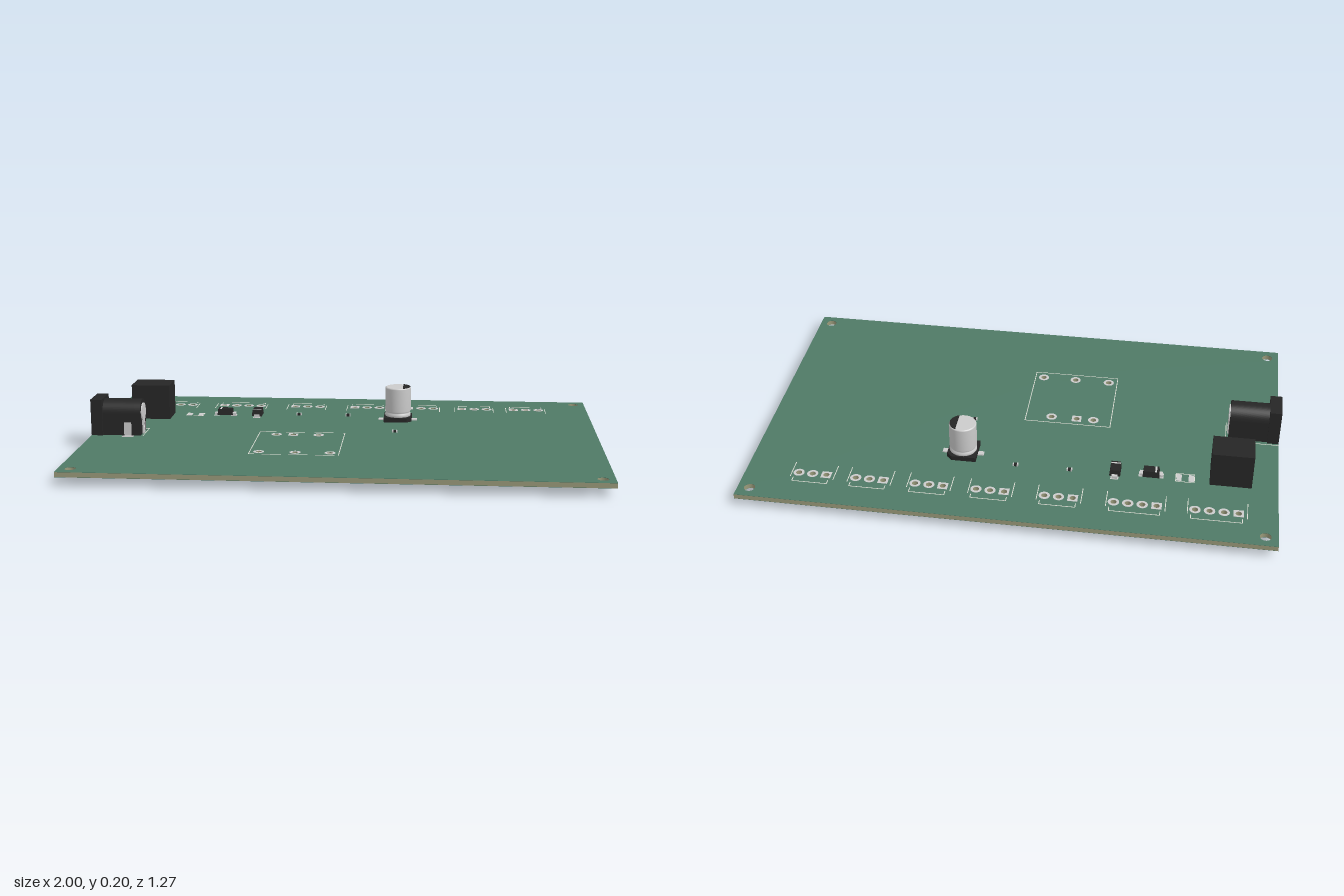
import * as THREE from 'three';

const BOT = 0.034, TOP = 0.054;
const mat = (color) => new THREE.MeshStandardMaterial({ color });
const green = mat(0x4f7a66), tan = mat(0x9a9a7a), black = mat(0x262626), metal = mat(0xcccccc), silk = mat(0xdcdcd4);

function add(parent, name, geo, material, x = 0, y = 0, z = 0) {
  const m = new THREE.Mesh(geo, material);
  m.name = name;
  m.position.set(x, y, z);
  parent.add(m);
  return m;
}
// box given by centre x, z, bottom y and sizes
function box(parent, name, material, x, y, z, w, h, d) {
  return add(parent, name, new THREE.BoxGeometry(w, h, d), material, x, y + h / 2, z);
}
function group(parent, name) {
  const g = new THREE.Group();
  g.name = name;
  parent.add(g);
  return g;
}
const circlePath = (x, y, r) => new THREE.Path().absarc(x, y, r, 0, Math.PI * 2, true);
function rectShape(hw, hh) {
  return new THREE.Shape([[-hw, -hh], [hw, -hh], [hw, hh], [-hw, hh]].map(([a, b]) => new THREE.Vector2(a, b)));
}
const extrude = (shape, depth, seg = 16) =>
  new THREE.ExtrudeGeometry(shape, { depth, bevelEnabled: false, curveSegments: seg });
const extrudeUp = (shape, depth, seg) => extrude(shape, depth, seg).rotateX(-Math.PI / 2);
const extrudeX = (shape, depth, seg = 32) => extrude(shape, depth, seg).rotateY(Math.PI / 2);

// pin headers: first pad x, pad count
const HEADERS = [[-0.856, 4], [-0.557, 4], [-0.247, 3], [0.01, 3], [0.242, 3], [0.47, 3], [0.69, 3]];
const PITCH = 0.053, HEADER_Z = -0.47;

function padList() {
  const pads = [];
  for (const [x, n] of HEADERS)
    for (let i = 0; i < n; i++) pads.push({ x: x + i * PITCH, z: HEADER_Z, square: i === 0 });
  for (const x of [-0.27, -0.203, -0.102]) pads.push({ x, z: 0.028, square: x === -0.203 });
  for (const x of [-0.305, -0.167, -0.034]) pads.push({ x, z: 0.3, square: false });
  return pads;
}

function buildBoard(root) {
  const g = group(root, 'circuitBoard');
  const pads = padList();
  const outline = rectShape(1, 0.633);
  for (const x of [-0.954, 0.954]) for (const y of [-0.585, 0.585]) outline.holes.push(circlePath(x, y, 0.021));
  for (const p of pads) outline.holes.push(circlePath(p.x, -p.z, 0.013));
  const skin = 0.001;
  add(g, 'boardCore', extrudeUp(outline, TOP - BOT - 2 * skin), tan, 0, BOT + skin, 0);
  add(g, 'topMask', extrudeUp(outline, skin), green, 0, TOP - skin, 0);
  add(g, 'bottomMask', extrudeUp(outline, skin), green, 0, BOT, 0);

  // plated through holes
  const round = new THREE.Shape().absarc(0, 0, 0.021, 0, Math.PI * 2);
  const square = rectShape(0.019, 0.019);
  const geos = [round, square].map((s) => {
    s.holes.push(circlePath(0, 0, 0.0115));
    return extrudeUp(s, 0.0008);
  });
  for (const p of pads)
    for (const y of [TOP, BOT - 0.0008]) add(g, 'pad', geos[p.square ? 1 : 0], metal, p.x, y, p.z);
}

function buildSilkscreen(root) {
  const g = group(root, 'silkscreen');
  const W = 0.003, H = 0.0006;
  const hLine = (x0, x1, z) => box(g, 'printedLine', silk, (x0 + x1) / 2, TOP, z, x1 - x0, H, W);
  const vLine = (x, z0, z1) => box(g, 'printedLine', silk, x, TOP, (z0 + z1) / 2, W, H, z1 - z0);
  for (const [x, n] of HEADERS) {
    const end = x + (n - 1) * PITCH;
    hLine(x - 0.014, end + 0.014, -0.522);
    vLine(x - 0.014, -0.522, -0.5);
    vLine(end + 0.014, -0.522, -0.5);
    vLine(x - 0.032, -0.497, -0.41);
    vLine(end + 0.027, -0.497, -0.41);
  }
  // relay outline
  hLine(-0.34, 0, -0.01);
  hLine(-0.34, 0, 0.335);
  vLine(-0.34, -0.01, 0.335);
  vLine(0, -0.01, 0.335);
  // jack outline
  hLine(-1, -0.795, -0.033);
  vLine(-0.795, -0.033, 0.09);
  // empty two-pad footprint
  for (const s of [-1, 1]) {
    box(g, 'solderPad', metal, -0.652 + s * 0.023, TOP, -0.29, 0.02, 0.001, 0.04);
    hLine(-0.688, -0.617, -0.29 + s * 0.024);
    vLine(-0.652 + s * 0.035, -0.314, -0.266);
  }
}

function buildPowerJack(root) {
  const g = group(root, 'powerJack');
  g.position.set(-1, 0, 0.035);
  const cy = 0.14, R = 0.052;
  // mouth flange
  const flange = new THREE.Shape([[-0.059, TOP], [0.059, TOP], [0.059, 0.198], [-0.059, 0.198]]
    .map(([a, b]) => new THREE.Vector2(a, b)));
  flange.holes.push(circlePath(0, cy, 0.034));
  add(g, 'jackFlange', extrudeX(flange, 0.045), black);
  // round-topped body with the plug bore
  const bodyShape = () => new THREE.Shape().moveTo(-R, TOP).lineTo(R, TOP).lineTo(R, cy)
    .absarc(0, cy, R, 0, Math.PI, false).lineTo(-R, TOP);
  const body = bodyShape();
  body.holes.push(circlePath(0, cy, 0.034));
  add(g, 'jackBarrel', extrudeX(body, 0.125), black, 0.045);
  add(g, 'jackBack', extrudeX(bodyShape(), 0.025), black, 0.17);
  const pin = new THREE.CylinderGeometry(0.011, 0.011, 0.16, 20).rotateZ(Math.PI / 2);
  add(g, 'centrePin', pin, metal, 0.092, cy, 0);
  // keyhole-shaped rear contact with its rivet hole
  const a = Math.asin(0.017 / 0.036);
  const key = new THREE.Shape().moveTo(-0.017, TOP).lineTo(0.017, TOP)
    .absarc(0, cy, 0.036, -Math.PI / 2 + a, 1.5 * Math.PI - a, false).lineTo(-0.017, TOP);
  key.holes.push(circlePath(0, 0.085, 0.01));
  add(g, 'rearContact', extrudeX(key, 0.005), metal, 0.195);
  // side contact
  box(g, 'sideContact', metal, 0.145, TOP, 0.055, 0.028, 0.052, 0.008);
  box(g, 'sidePin', metal, 0.145, 0.01, 0.064, 0.022, TOP - 0.01, 0.004);
  box(g, 'sidePad', metal, 0.147, TOP, 0.066, 0.046, 0.001, 0.02);
  // rounded solder tails with an eyelet
  const tail = new THREE.Shape().moveTo(0.017, TOP).lineTo(-0.017, TOP).lineTo(-0.017, 0.018)
    .absarc(0, 0.018, 0.017, Math.PI, Math.PI * 2, false).lineTo(0.017, TOP);
  tail.holes.push(circlePath(0, 0.018, 0.009));
  for (const x of [0.14, 0.195]) add(g, 'solderTail', extrudeX(tail, 0.005), metal, x);
}

function buildModule(root) {
  const g = group(root, 'powerModule');
  box(g, 'moduleCase', black, -0.822, TOP, -0.257, 0.157, 0.142, 0.118);
  for (const x of [-0.893, -0.84, -0.787]) box(g, 'modulePin', metal, x, 0.002, -0.22, 0.008, TOP, 0.006);
}

function buildCapacitor(root) {
  const g = group(root, 'capacitor');
  g.position.set(0.203, TOP, -0.255);
  // base plate chamfered on its right-hand corners
  const h = 0.057, c = 0.02;
  const base = new THREE.Shape([[-h, -h], [h - c, -h], [h, c - h], [h, h - c], [h - c, h], [-h, h]]
    .map(([a, b]) => new THREE.Vector2(a, b)));
  add(g, 'capacitorBase', extrudeUp(base, 0.018), black, 0, 0.002, 0);
  for (const s of [-1, 1]) box(g, 'capacitorTerminal', metal, s * 0.06, 0, 0, 0.04, 0.005, 0.022);
  // can with rolled groove and rounded top rim
  const profile = [[0, 0.018], [0.05, 0.018], [0.053, 0.022], [0.053, 0.03], [0.049, 0.034], [0.049, 0.038],
    [0.053, 0.043], [0.053, 0.136], [0.052, 0.139], [0.049, 0.141]].map(([r, y]) => new THREE.Vector2(r, y));
  add(g, 'capacitorCan', new THREE.LatheGeometry(profile, 40), metal);
  add(g, 'capacitorTop', new THREE.CircleGeometry(0.049, 40).rotateX(-Math.PI / 2), metal, 0, 0.141, 0);
  // polarity mark
  const mark = new THREE.Shape().absarc(0, 0, 0.05, -1.15, 1.15, false);
  add(g, 'polarityMark', extrudeUp(mark, 0.001), black, 0, 0.141, 0);
}

function buildDiode(root, x, z, turn) {
  const g = group(root, 'diode');
  g.position.set(x, TOP, z);
  g.rotation.y = turn;
  // tapered moulded body
  const geo = new THREE.BoxGeometry(0.064, 0.025, 0.042);
  const p = geo.attributes.position;
  for (let i = 0; i < p.count; i++) if (p.getY(i) > 0) p.setXYZ(i, p.getX(i) * 0.9, p.getY(i), p.getZ(i) * 0.86);
  geo.computeVertexNormals();
  add(g, 'diodeBody', geo, black, 0, 0.0165, 0);
  box(g, 'cathodeBand', metal, -0.018, 0.0285, 0, 0.007, 0.001, 0.036);
  for (const s of [-1, 1]) {
    box(g, 'diodeLead', metal, s * 0.034, 0, 0, 0.02, 0.012, 0.022);
    box(g, 'diodePad', metal, s * 0.036, 0, 0, 0.022, 0.001, 0.03);
  }
}

function buildChip(root, x, z) {
  const g = group(root, 'smallChip');
  g.position.set(x, TOP, z);
  box(g, 'chipBody', black, 0, 0, 0, 0.011, 0.009, 0.011);
  for (const s of [-1, 1]) box(g, 'chipEnd', metal, s * 0.008, 0, 0, 0.005, 0.0095, 0.0115);
}

export function createModel() {
  const root = new THREE.Group();
  root.name = 'circuitBoardAssembly';
  buildBoard(root);
  buildSilkscreen(root);
  buildPowerJack(root);
  buildModule(root);
  buildCapacitor(root);
  buildDiode(root, -0.524, -0.29, 0);
  buildDiode(root, -0.388, -0.29, Math.PI / 2);
  for (const [x, z] of [[-0.215, -0.307], [-0.008, -0.307], [0.198, -0.038]]) buildChip(root, x, z);
  return root;
}
